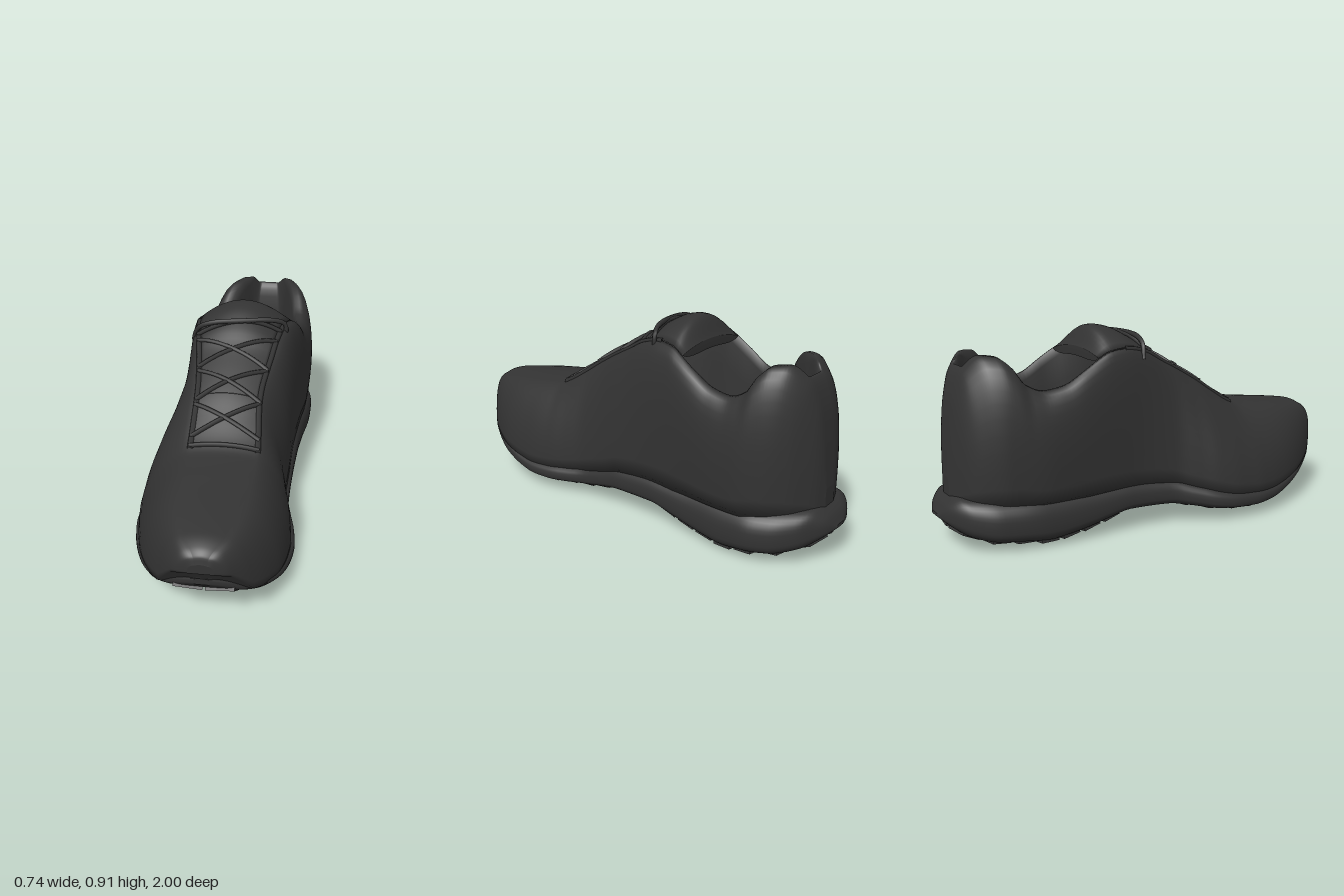
import * as THREE from 'three';

const rubberBlack = new THREE.MeshStandardMaterial({ color: 0x333333 });
rubberBlack.name = 'charcoal';

// Smooth monotone curve through [z, value] pairs
function curve(pts) {
  const p = [...pts].sort((a, b) => a[0] - b[0]);
  const d = p.slice(1).map((q, i) => (q[1] - p[i][1]) / (q[0] - p[i][0]));
  const m = p.map((_, i) => {
    if (i === 0) return d[0];
    if (i === p.length - 1) return d[i - 1];
    return d[i - 1] * d[i] <= 0 ? 0 : (2 * d[i - 1] * d[i]) / (d[i - 1] + d[i]);
  });
  return (z) => {
    if (z <= p[0][0]) return p[0][1];
    if (z >= p[p.length - 1][0]) return p[p.length - 1][1];
    let i = 0;
    while (z > p[i + 1][0]) i++;
    const h = p[i + 1][0] - p[i][0], t = (z - p[i][0]) / h, t2 = t * t, t3 = t2 * t;
    return (2 * t3 - 3 * t2 + 1) * p[i][1] + (t3 - 2 * t2 + t) * h * m[i]
      + (3 * t2 - 2 * t3) * p[i + 1][1] + (t3 - t2) * h * m[i + 1];
  };
}

// Plan outline, right (-x) and left (+x) edges
const edgeR = curve([[-1, 0.05], [-0.98, -0.02], [-0.95, -0.08], [-0.9, -0.13], [-0.8, -0.185], [-0.6, -0.22],
  [-0.2, -0.225], [0, -0.25], [0.1, -0.3], [0.2, -0.35], [0.3, -0.373], [0.4, -0.375], [0.5, -0.36],
  [0.6, -0.333], [0.7, -0.295], [0.8, -0.243], [0.9, -0.175], [0.97, -0.11], [0.99, -0.08], [1, -0.04]]);
const edgeL = curve([[-1, 0.11], [-0.98, 0.17], [-0.95, 0.22], [-0.9, 0.28], [-0.8, 0.345], [-0.7, 0.37],
  [-0.6, 0.365], [-0.4, 0.34], [0, 0.31], [0.2, 0.302], [0.3, 0.32], [0.4, 0.34], [0.5, 0.347],
  [0.6, 0.337], [0.7, 0.315], [0.8, 0.272], [0.9, 0.208], [0.97, 0.135], [0.99, 0.105], [1, 0.065]]);

// Sole side profile
const soleBottom = curve([[-1, 0.13], [-0.95, 0.085], [-0.9, 0.052], [-0.8, 0.022], [-0.7, 0.012], [-0.58, 0],
  [-0.5, 0.008], [-0.4, 0.025], [-0.3, 0.05], [-0.2, 0.07], [0, 0.068], [0.1, 0.055], [0.2, 0.037],
  [0.4, 0.025], [0.5, 0.03], [0.6, 0.05], [0.7, 0.08], [0.8, 0.118], [0.9, 0.17], [0.975, 0.25]]);
const soleTop = curve([[-1, 0.15], [-0.97, 0.2], [-0.92, 0.232], [-0.2, 0.235], [0, 0.225], [0.1, 0.195],
  [0.3, 0.15], [0.5, 0.14], [0.7, 0.17], [0.9, 0.24], [0.975, 0.29]]);

// Upper: shoulder edges, rim height, crown above the rim, foot cavity, wall shape
const shoulderR = curve([[-0.945, 0.06], [-0.85, 0.04], [-0.78, 0.0], [-0.6, -0.11], [-0.4, -0.16], [-0.2, -0.17],
  [0, -0.14], [0.2, -0.12], [0.6, -0.12], [0.9, -0.07], [1, -0.01]]);
const shoulderL = curve([[-0.945, 0.11], [-0.85, 0.17], [-0.78, 0.21], [-0.6, 0.27], [-0.4, 0.27], [-0.2, 0.225],
  [0, 0.185], [0.2, 0.155], [0.45, 0.17], [0.6, 0.16], [0.9, 0.1], [1, 0.04]]);
const rim = curve([[-0.945, 0.3], [-0.93, 0.5], [-0.91, 0.64], [-0.87, 0.75], [-0.8, 0.81], [-0.75, 0.805],
  [-0.7, 0.765], [-0.65, 0.69], [-0.58, 0.66], [-0.5, 0.675], [-0.4, 0.735], [-0.33, 0.78], [-0.28, 0.805],
  [-0.2, 0.815], [-0.1, 0.795], [0, 0.745], [0.1, 0.695], [0.2, 0.64], [0.3, 0.575], [0.4, 0.515],
  [0.45, 0.495], [0.6, 0.475], [0.9, 0.44], [0.96, 0.425], [0.99, 0.405], [1, 0.375]]);
const crown = curve([[-0.42, 0], [-0.34, 0.03], [-0.27, 0.095], [-0.2, 0.08], [-0.1, 0.05], [0, 0.03],
  [0.2, 0.022], [0.45, 0.015], [0.9, 0.015], [1, 0.005]]);
const cavity = curve([[-0.86, 0], [-0.83, 0.15], [-0.78, 0.75], [-0.72, 1], [-0.05, 1], [0.1, 0]]);
const fullness = curve([[-0.945, 0.8], [-0.2, 0.75], [0, 0.95], [0.3, 1.4], [0.5, 1.35], [0.75, 1.1], [1, 0.9]]);
const bulge = curve([[-0.945, 0.01], [-0.8, 0.025], [-0.4, 0.022], [0, 0.005], [0.15, 0]]);
const baseWidth = curve([[-0.945, 0.92], [-0.2, 0.92], [0.1, 0.95], [0.5, 0.955], [0.9, 0.995]]);
const upperBase = (z) => soleTop(z) - 0.045 + Math.max(0, z - 0.9) * 0.9;

const lerp = THREE.MathUtils.lerp;
const topY = (j, z) => rim(z) + crown(z) * (1 - j * j);
const acrossTop = (j, z) => lerp(shoulderR(z), shoulderL(z), (j + 1) / 2);

// Closed ring of the upper: outer wall, across the top (or down into the cavity), outer wall
function upperSection(z) {
  const u = ((z + 0.945) / 1.945) * 2 - 1;
  const a = edgeR(u), b = edgeL(u), c = (a + b) / 2, w = ((b - a) / 2) * baseWidth(z);
  const yb = upperBase(z), ys = rim(z), floor = Math.min(ys, soleTop(z) + 0.02), pts = [];
  const wall = (side, top, t) => [
    top + (c + side * w - top) * Math.cos(t) ** fullness(z) + side * bulge(z) * Math.sin(2 * t),
    yb + (ys - yb) * Math.sin(t)];
  for (let i = 0; i < 12; i++) pts.push(wall(-1, shoulderR(z), (i / 12) * Math.PI / 2));
  for (let i = 0; i <= 28; i++) {
    const j = i / 14 - 1;
    const pit = 1 - THREE.MathUtils.smoothstep(Math.abs(j), 0.62, 1);
    pts.push([acrossTop(j, z), lerp(topY(j, z), floor, pit * cavity(z))]);
  }
  for (let i = 11; i >= 0; i--) pts.push(wall(1, shoulderL(z), (i / 12) * Math.PI / 2));
  return pts;
}

// Padded tongue arching over the front of the cavity
function tongueSection(z) {
  const pts = [];
  for (let i = 0; i <= 16; i++) pts.push([acrossTop(i / 8 - 1, z), topY(i / 8 - 1, z) + 0.002]);
  for (let i = 15; i > 0; i--) {
    const j = i / 8 - 1;
    pts.push([acrossTop(j, z), topY(j, z) - 0.04 * (1 - j ** 4)]);
  }
  return pts;
}

// Midsole section: rounded underside, softly tucked in towards the upper
function soleSection(z) {
  const tip = Math.sqrt(1 - (Math.max(0, z - 0.85) / 0.13) ** 2);
  const c = (edgeR(z) + edgeL(z)) / 2, w = ((edgeL(z) - edgeR(z)) / 2) * tip;
  const lo = soleBottom(z) + 0.01, hi = Math.max(soleTop(z), lo + 0.015), pts = [];
  const pow = (v, e) => Math.sign(v) * Math.abs(v) ** e;
  for (let i = 0; i < 44; i++) {
    const t = Math.PI - (i / 44) * Math.PI * 2, upper = Math.sin(t) > 0;
    pts.push([c + w * pow(Math.cos(t), upper ? 0.45 : 0.4),
      lerp(lo, hi, 0.4) + (hi - lo) * (upper ? 0.6 : 0.4) * pow(Math.sin(t), upper ? 0.8 : 0.6)]);
  }
  return pts;
}

// Skin closed sections along z, with both ends drawn to their middle
function loft(section, z0, z1, n) {
  const rings = [];
  for (let i = 0; i <= n; i++) {
    const z = lerp(z0, z1, (1 - Math.cos((i / n) * Math.PI)) / 2);
    rings.push(section(z).map(([x, y]) => [x, y, z]));
  }
  const middle = (r) => r.map(() => [0, 1, 2].map((k) => r.reduce((s, q) => s + q[k], 0) / r.length));
  rings.unshift(middle(rings[0]));
  rings.push(middle(rings[rings.length - 1]));
  const s = rings[0].length, index = [];
  for (let i = 0; i < rings.length - 1; i++) {
    for (let k = 0; k < s; k++) {
      const a = i * s + k, c = i * s + ((k + 1) % s);
      index.push(a, a + s, c, c, a + s, c + s);
    }
  }
  const g = new THREE.BufferGeometry();
  g.setAttribute('position', new THREE.Float32BufferAttribute(rings.flat(2), 3));
  g.setIndex(index);
  g.computeVertexNormals();
  return g;
}

export function createModel() {
  const shoe = new THREE.Group();
  shoe.name = 'runningShoe';
  const add = (name, geometry, parent = shoe) => {
    const mesh = new THREE.Mesh(geometry, rubberBlack);
    mesh.name = name;
    parent.add(mesh);
    return mesh;
  };
  const tube = (pts, r) => new THREE.TubeGeometry(
    new THREE.CatmullRomCurve3(pts.map((p) => new THREE.Vector3(...p))), pts.length * 4, r, 6);

  add('upper', loft(upperSection, -0.945, 1, 150));
  add('tongue', loft(tongueSection, -0.335, 0.2, 40));
  add('midsole', loft(soleSection, -1, 0.975, 100));

  // Tread blocks under forefoot and heel, curving up at the sides, leaving the arch clear
  const tread = new THREE.Group();
  tread.name = 'tread';
  shoe.add(tread);
  for (let row = 0; row < 19; row++) {
    const z = 0.9 - row * 0.1;
    if (z < 0.08 && z > -0.28) continue;
    const a = Math.max(edgeR(z - 0.04), edgeR(z + 0.04)) + 0.02;
    const b = Math.min(edgeL(z - 0.04), edgeL(z + 0.04)) - 0.02;
    const n = Math.max(2, Math.round((b - a) / 0.14)), w = (b - a) / n;
    const slope = (soleBottom(z + 0.04) - soleBottom(z - 0.04)) / 0.08;
    for (let k = 0; k < n; k++) {
      const j = ((k + 0.5) / n) * 2 - 1;
      const lug = add('treadBlock', new THREE.BoxGeometry(w * 0.86, 0.03, 0.085), tread);
      lug.position.set(a + w * (k + 0.5), soleBottom(z) + 0.016 + 0.022 * j * j, z);
      lug.rotation.set(-Math.atan(slope), -Math.sign(j) * 0.12, j * 0.12);
    }
  }

  // Eyelet edges beside the tongue
  for (const [name, edge] of [['rightEyestay', shoulderR], ['leftEyestay', shoulderL]]) {
    const pts = [];
    for (let z = 0.42; z > -0.22; z -= 0.07) pts.push([edge(z), rim(z) - 0.002, z]);
    add(name, tube(pts, 0.013));
  }

  // Laces follow the crown of the tongue
  const laces = new THREE.Group();
  laces.name = 'laces';
  shoe.add(laces);
  const strand = (zR, zL, lift = 0.005) => {
    const pts = [];
    for (let i = 0; i <= 8; i++) {
      const z = lerp(zR, zL, i / 8), j = (i / 4 - 1) * 1.04;
      pts.push([acrossTop(j, z), topY(j, z) + lift, z]);
    }
    add('lace', tube(pts, 0.01), laces);
  };
  strand(0.41, 0.41);
  for (const z of [0.37, 0.22, 0.07]) {
    strand(z, z - 0.15);
    strand(z - 0.13, z, 0.009);
  }
  strand(-0.09, -0.14, 0.01);
  add('topLace', tube([[-0.185, 0.76, -0.12], [-0.165, 0.82, -0.11], [-0.1, 0.855, -0.1], [0.04, 0.868, -0.11],
    [0.19, 0.86, -0.15], [0.235, 0.835, -0.17], [0.24, 0.78, -0.17]], 0.011), laces);

  return shoe;
}
